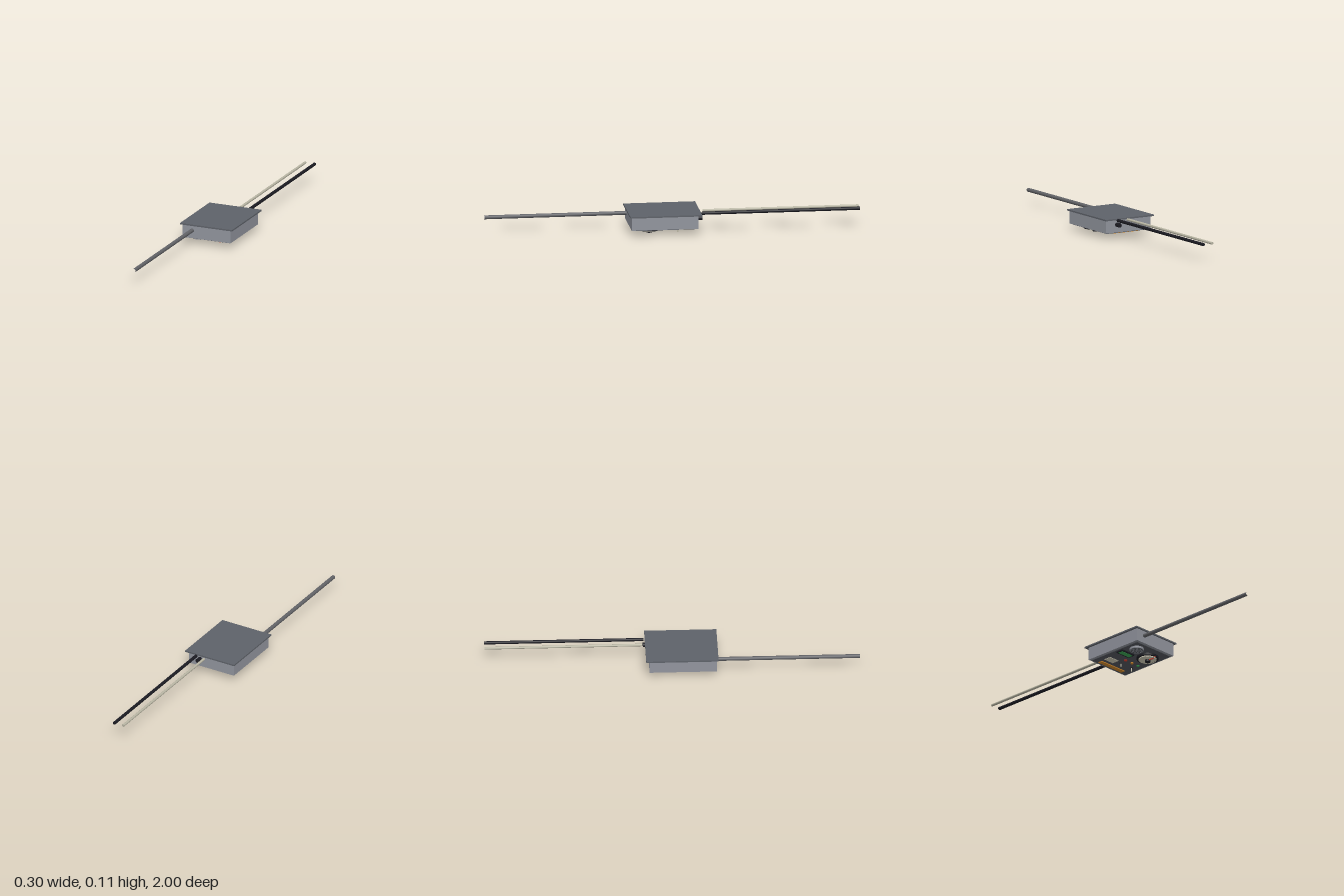
import * as THREE from 'three';

const mat = (name, color) => {
  const m = new THREE.MeshStandardMaterial({ color });
  m.name = name;
  return m;
};

export function createModel() {
  const group = new THREE.Group();
  const lidGrey = mat('lid grey', 0x5e6269);
  const bodyGrey = mat('body grey', 0x91949d);
  const panelGrey = mat('panel grey', 0x53565c);
  const conduitGrey = mat('conduit grey', 0x626367);
  const black = mat('black', 0x1b1b22);
  const cream = mat('cream', 0xd2cdb8);
  const wireBeige = mat('wire beige', 0xb9b6a4);
  const red = mat('red', 0xd23a2a);
  const green = mat('green', 0x3aa653);
  const amber = mat('amber', 0xcf8629);

  const add = (name, geometry, material, x, y, z) => {
    const mesh = new THREE.Mesh(geometry, material);
    mesh.name = name;
    mesh.position.set(x, y, z);
    group.add(mesh);
    return mesh;
  };
  // box given by its centre in x and z, and its bottom and top
  const box = (name, m, x, z, w, d, y0, y1) =>
    add(name, new THREE.BoxGeometry(w, y1 - y0, d), m, x, (y0 + y1) / 2, z);
  // upright cylinder between two heights
  const disc = (name, m, x, z, r, y0, y1, sides = 32) =>
    add(name, new THREE.CylinderGeometry(r, r, y1 - y0, sides), m, x, (y0 + y1) / 2, z);
  // cylinder running along z, optionally without end caps
  const rod = (name, m, x, y, r, z0, z1, open = false) => {
    const mesh = add(name, new THREE.CylinderGeometry(r, r, Math.abs(z1 - z0), 20, 1, open), m, x, y, (z0 + z1) / 2);
    mesh.rotation.x = Math.PI / 2;
  };

  // enclosure
  box('lid', lidGrey, 0, 0.05, 0.304, 0.386, 0.105, 0.113);
  box('body', bodyGrey, 0, 0.055, 0.28, 0.36, 0.035, 0.105);
  box('controlPanel', panelGrey, 0, 0.055, 0.256, 0.336, 0.03, 0.035);

  // long conduits and cable entry
  rod('frontConduit', conduitGrey, -0.085, 0.078, 0.0105, 0.235, 1, true);
  rod('backCable', black, 0.08, 0.1045, 0.0085, -0.15, -1);
  rod('backWire', wireBeige, 0.025, 0.106, 0.007, -0.16, -1);
  rod('cableGland', black, 0.07, 0.077, 0.012, -0.12, -0.153);

  // main dial with knob and pointer
  const dx = 0.049, dz = 0.13;
  disc('dialRing', black, dx, dz, 0.059, 0.019, 0.03, 40);
  disc('dialFace', cream, dx, dz, 0.048, 0.0135, 0.019, 40);
  for (let i = 0; i < 9; i++) {
    const a = -2.2 + i * 0.55;
    const tick = box('dialTick', black, dx + Math.sin(a) * 0.043, dz + Math.cos(a) * 0.043, 0.0015, 0.006, 0.013, 0.0136);
    tick.rotation.y = a;
  }
  disc('dialKnob', black, dx, dz, 0.0145, 0.002, 0.0135, 24);
  box('dialPointer', red, dx, dz + 0.024, 0.005, 0.04, 0.009, 0.0135);
  box('dialMark', red, dx, dz + 0.0535, 0.008, 0.008, 0.0178, 0.0192);

  // display with green screen
  box('displayFrame', black, -0.072, 0.083, 0.092, 0.044, 0.023, 0.03);
  box('displayScreen', green, -0.072, 0.083, 0.08, 0.03, 0.022, 0.0232);

  // round speaker with grille bars
  disc('speakerRim', bodyGrey, -0.071, 0.165, 0.038, 0.019, 0.03);
  disc('speakerCone', panelGrey, -0.071, 0.165, 0.033, 0.0182, 0.0192);
  for (const k of [-2, -1, 0, 1, 2]) {
    const w = 2 * Math.sqrt(0.031 ** 2 - (k * 0.011) ** 2);
    box('speakerBar', bodyGrey, -0.071, 0.165 + k * 0.011, w, 0.003, 0.0175, 0.0184);
  }

  // indicator lamps, domed downwards
  [[0.087, green], [0.041, amber], [-0.008, red]].forEach(([x, m]) => {
    const dome = new THREE.SphereGeometry(0.009, 20, 10, 0, Math.PI * 2, Math.PI / 2, Math.PI / 2);
    add('lamp', dome, m, x, 0.03, 0.022);
  });

  // toggle switches
  for (const x of [0, 0.082]) {
    disc('switchNut', black, x, -0.02, 0.007, 0.026, 0.03, 6);
    disc('switchLever', cream, x, -0.02, 0.003, 0.006, 0.026, 12);
  }

  // label plates
  box('warningStrip', amber, -0.002, -0.087, 0.174, 0.024, 0.0255, 0.03);
  box('ratingPlate', cream, -0.062, -0.031, 0.064, 0.042, 0.0275, 0.03);

  return group;
}
